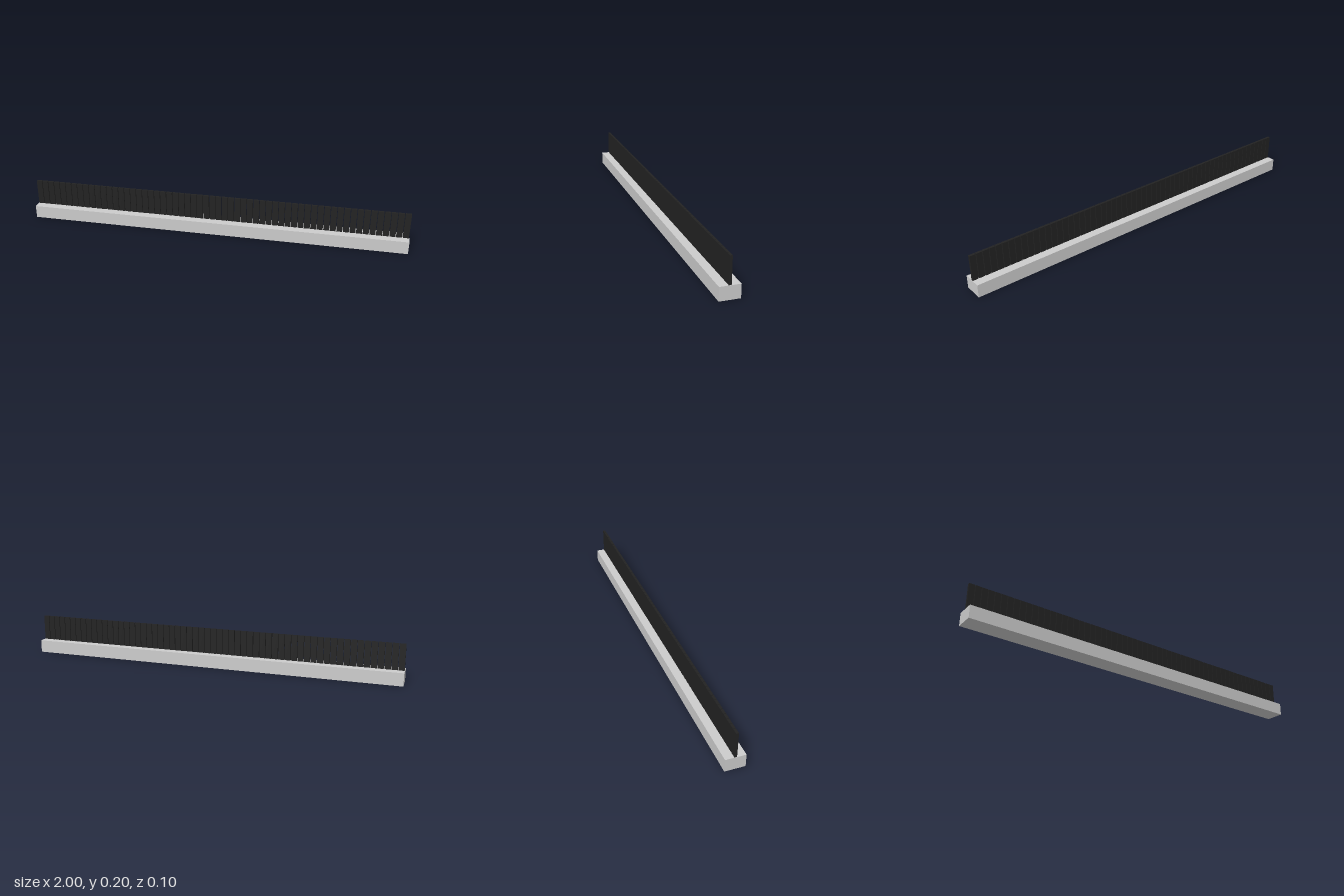
import * as THREE from 'three';

export function createModel() {
  const group = new THREE.Group();
  const length = 2, baseHeight = 0.0667, baseDepth = 0.1;
  const tuftHeight = 0.1333, tuftDepth = 0.0127, count = 60;
  const pitch = length / count;

  // Solid holder bar
  const base = new THREE.Mesh(
    new THREE.BoxGeometry(length, baseHeight, baseDepth),
    new THREE.MeshStandardMaterial({ color: 0xcccccc })
  );
  base.name = 'holderBar';
  base.position.y = baseHeight / 2;
  group.add(base);

  // Row of flat bristle tufts with narrow gaps between them
  const bristles = new THREE.Group();
  bristles.name = 'bristles';
  const tuftGeometry = new THREE.BoxGeometry(pitch * 0.9, tuftHeight, tuftDepth);
  const tuftMaterial = new THREE.MeshStandardMaterial({ color: 0x222222 });
  for (let i = 0; i < count; i++) {
    const tuft = new THREE.Mesh(tuftGeometry, tuftMaterial);
    tuft.name = 'bristleTuft';
    tuft.position.set(-length / 2 + (i + 0.5) * pitch, baseHeight + tuftHeight / 2, 0);
    bristles.add(tuft);
  }
  group.add(bristles);

  return group;
}
